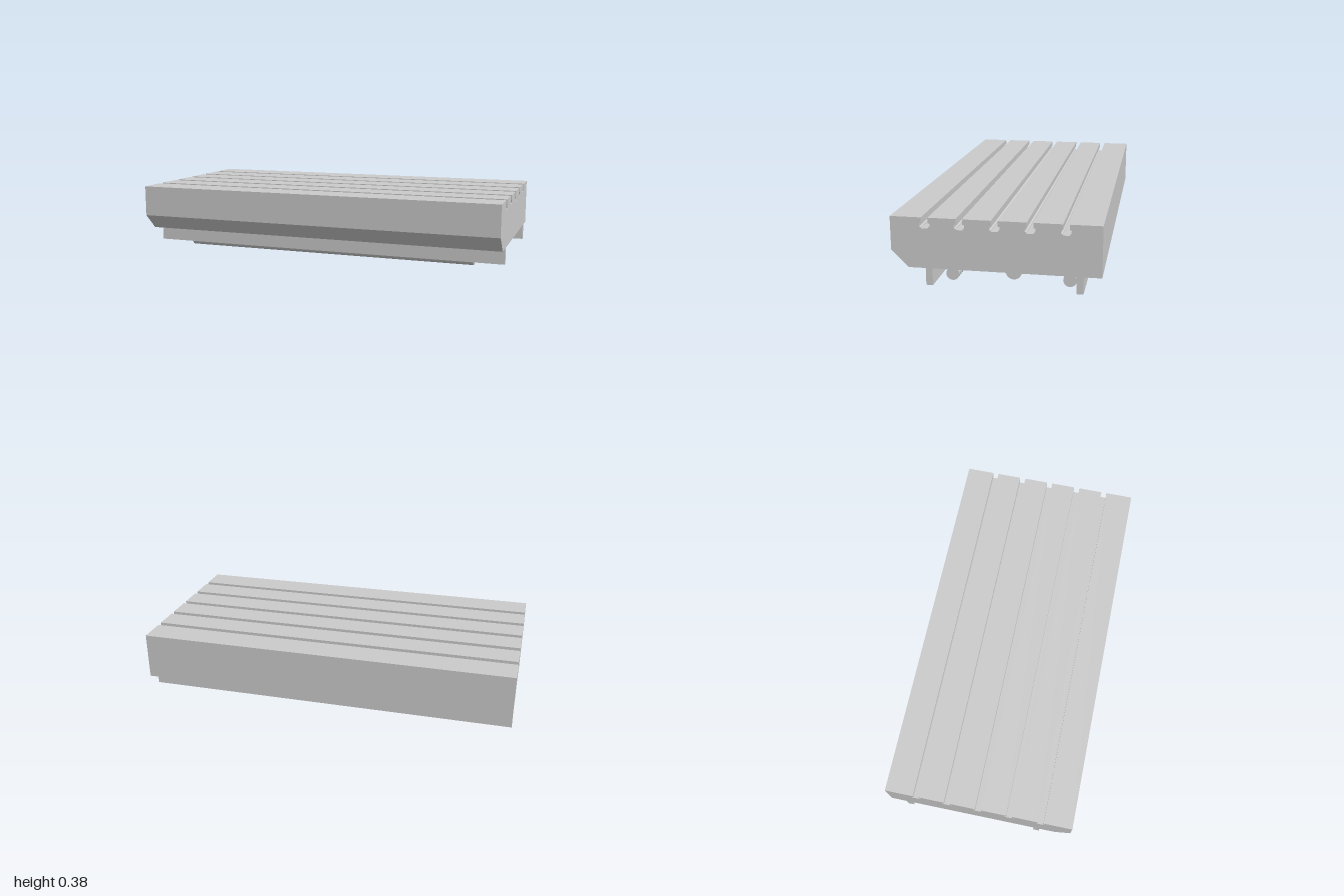
import * as THREE from 'three';

const material = new THREE.MeshStandardMaterial({ color: 0xcccccc });

function addMesh(group, name, geometry) {
  const mesh = new THREE.Mesh(geometry, material);
  mesh.name = name;
  group.add(mesh);
  return mesh;
}

// Extrude a (z, y) profile along x, centred on x = 0
function extrudeAlongX(shape, length) {
  const geometry = new THREE.ExtrudeGeometry(shape, { depth: length, bevelEnabled: false, curveSegments: 20 });
  geometry.translate(0, 0, -length / 2);
  geometry.rotateY(-Math.PI / 2);
  return geometry;
}

// Table profile: chamfered front underside and five T-slots in the top
function tableShape() {
  const top = 0.375, bottom = 0.127;
  const s = new THREE.Shape();
  s.moveTo(-0.5, bottom);
  s.lineTo(0.417, bottom);
  s.lineTo(0.5, 0.21);
  s.lineTo(0.5, top);
  const halfSlot = [
    [0.016, top], [0.016, 0.348], [0.022, 0.348], [0.025, 0.345],
    [0.025, 0.331], [0.018, 0.328], [0.016, 0.322],
  ];
  for (let i = 2; i >= -2; i--) {
    const z = i / 6;
    for (const [w, y] of halfSlot) s.lineTo(z + w, y);
    for (const [w, y] of [...halfSlot].reverse()) s.lineTo(z - w, y);
  }
  s.lineTo(-0.5, top);
  s.closePath();
  return s;
}

// Saddle profile: plate with two rod seats and a round-bottomed centre rib
function saddleShape() {
  const top = 0.127, under = 0.078, seat = 0.043;
  const s = new THREE.Shape();
  s.moveTo(0.283, top);
  s.lineTo(-0.365, top);
  s.lineTo(-0.365, seat);
  s.lineTo(-0.3, seat);
  s.lineTo(-0.3, under);
  s.lineTo(-0.082, under);
  s.lineTo(-0.082, 0.041);
  s.absarc(-0.041, 0.041, 0.041, Math.PI, Math.PI * 2, false);
  s.lineTo(0, under);
  s.lineTo(0.218, under);
  s.lineTo(0.218, seat);
  s.lineTo(0.283, seat);
  s.closePath();
  return s;
}

export function createModel() {
  const model = new THREE.Group();
  model.name = 'slottedMachineTable';

  addMesh(model, 'slottedTable', extrudeAlongX(tableShape(), 2));
  addMesh(model, 'saddle', extrudeAlongX(saddleShape(), 1.5));

  // Full-length rails below the table
  for (const [name, z] of [['frontRail', 0.317], ['backRail', -0.399]]) {
    addMesh(model, name, new THREE.BoxGeometry(2, 0.084, 0.033)).position.set(0, 0.085, z);
  }

  // Guide rods, longer than the saddle that holds them
  for (const [name, z] of [['frontRod', 0.25], ['backRod', -0.333]]) {
    const rod = new THREE.CylinderGeometry(0.033, 0.033, 1.664, 40).rotateZ(Math.PI / 2);
    addMesh(model, name, rod).position.set(0, 0.043, z);
  }
  return model;
}
